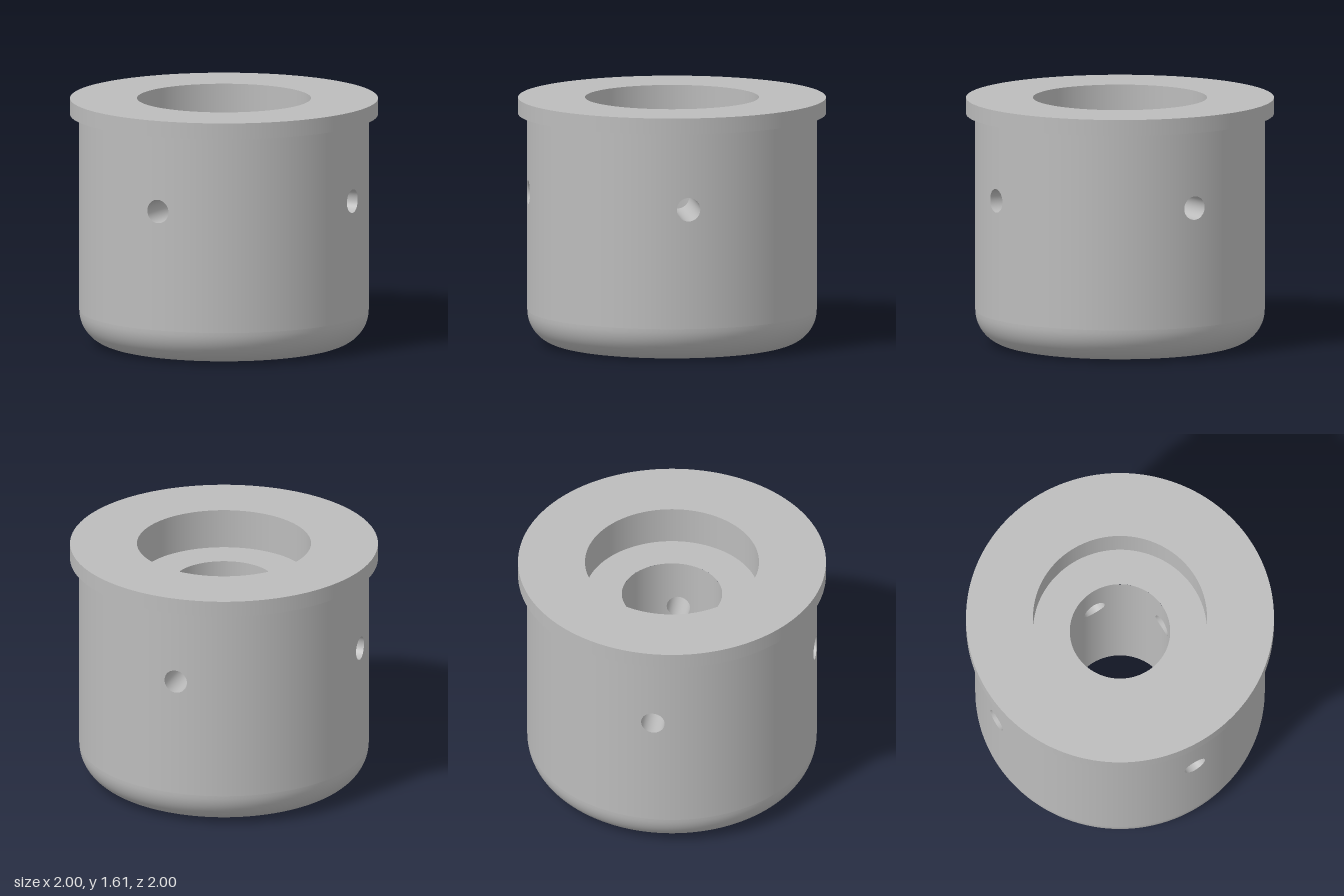
import * as THREE from 'three';

const BODY_R = 0.94, BORE_R = 0.326, POCKET_R = 0.565, LIP_R = 1;
const TOP = 1.61, LIP_Y = 1.505, LEDGE_Y = 1.35, FILLET = 0.22;
const HOLE_Y = 1.003, HOLE_R = 0.077, BAND = 0.12; // side holes and half height of the band around them
const SIDE = 12, RING = SIDE * 4; // segments per patch side, and around each hole

export function createModel() {
  const group = new THREE.Group();
  const metal = new THREE.MeshStandardMaterial({ color: 0xbcbcbc });
  metal.name = 'grey metal';

  const add = (name, geometry, parent = group) => {
    const mesh = new THREE.Mesh(geometry, metal);
    mesh.name = name;
    parent.add(mesh);
  };
  const turned = (name, points, segments = 192, start = 0, length = Math.PI * 2) =>
    add(name, new THREE.LatheGeometry(points.map(([r, y]) => new THREE.Vector2(r, y)), segments, start, length));

  // Grid around a hole: f(i, j) returns [position, normal]
  const ringGrid = (rows, flip, f) => {
    const pos = [], nor = [], index = [];
    for (let j = 0; j <= rows; j++) {
      for (let i = 0; i <= RING; i++) {
        const [p, n] = f(i, j / rows);
        pos.push(...p);
        nor.push(...n);
        if (i === RING || j === rows) continue;
        const a = j * (RING + 1) + i, b = a + 1, c = a + RING + 1, d = c + 1;
        index.push(...(flip ? [a, b, c, b, d, c] : [a, c, b, b, c, d]));
      }
    }
    const g = new THREE.BufferGeometry();
    g.setAttribute('position', new THREE.Float32BufferAttribute(pos, 3));
    g.setAttribute('normal', new THREE.Float32BufferAttribute(nor, 3));
    g.setIndex(index);
    return g;
  };
  const ringAngle = (i) => -0.75 * Math.PI + (i / RING) * Math.PI * 2;

  // Curved wall patch, from the hole edge out to a rectangle
  const wallPatch = (R, halfAngle, inward) => ringGrid(5, inward, (i, s) => {
    const t = ringAngle(i), c = Math.cos(t), sn = Math.sin(t);
    const side = Math.floor(i / SIDE) % 4, k = -1 + 2 * (i % SIDE) / SIDE;
    const [u, v] = [[k, -1], [1, k], [-k, 1], [-1, -k]][side];
    const theta = THREE.MathUtils.lerp(Math.asin(HOLE_R * c / R), u * halfAngle, s);
    const y = HOLE_Y + THREE.MathUtils.lerp(HOLE_R * sn, v * BAND, s);
    const x = Math.sin(theta), z = Math.cos(theta), sign = inward ? -1 : 1;
    return [[x * R, y, z * R], [x * sign, 0, z * sign]];
  });

  // Hole lining between the outer wall and the bore
  const lining = () => ringGrid(1, true, (i, s) => {
    const t = ringAngle(i), x = HOLE_R * Math.cos(t), R = s ? BORE_R : BODY_R;
    return [[x, HOLE_Y + HOLE_R * Math.sin(t), Math.sqrt(R * R - x * x)], [-Math.cos(t), -Math.sin(t), 0]];
  });

  // Turned surfaces, running from the base outward, up and back down the bore
  const low = HOLE_Y - BAND, high = HOLE_Y + BAND;
  const fillet = Array.from({ length: 17 }, (_, i) => {
    const a = (i / 16) * Math.PI / 2;
    return [BODY_R - FILLET + FILLET * Math.sin(a), FILLET - FILLET * Math.cos(a)];
  });
  turned('base', [[BORE_R, 0], [BODY_R - FILLET, 0]]);
  turned('baseFillet', fillet);
  turned('lowerWall', [[BODY_R, FILLET], [BODY_R, low]]);
  turned('upperWall', [[BODY_R, high], [BODY_R, LIP_Y]]);
  turned('lipUnderside', [[BODY_R, LIP_Y], [LIP_R, LIP_Y]]);
  turned('lipEdge', [[LIP_R, LIP_Y], [LIP_R, TOP]]);
  turned('topFace', [[LIP_R, TOP], [POCKET_R, TOP]]);
  turned('pocketWall', [[POCKET_R, TOP], [POCKET_R, LEDGE_Y]]);
  turned('pocketLedge', [[POCKET_R, LEDGE_Y], [BORE_R, LEDGE_Y]]);
  turned('upperBore', [[BORE_R, LEDGE_Y], [BORE_R, high]], 96);
  turned('lowerBore', [[BORE_R, low], [BORE_R, 0]], 96);

  // Four radial side holes and the wall between them
  const outerHalf = Math.PI / 16, innerHalf = Math.PI / 8;
  for (let k = 0; k < 4; k++) {
    const angle = k * Math.PI / 2;
    const hole = new THREE.Group();
    hole.name = 'sideHole';
    hole.rotation.y = angle;
    add('outerHoleSurround', wallPatch(BODY_R, outerHalf, false), hole);
    add('innerHoleSurround', wallPatch(BORE_R, innerHalf, true), hole);
    add('holeLining', lining(), hole);
    group.add(hole);
    turned('wallBand', [[BODY_R, low], [BODY_R, high]], 36, angle + outerHalf, Math.PI / 2 - 2 * outerHalf);
    turned('boreBand', [[BORE_R, high], [BORE_R, low]], 12, angle + innerHalf, Math.PI / 2 - 2 * innerHalf);
  }
  return group;
}
